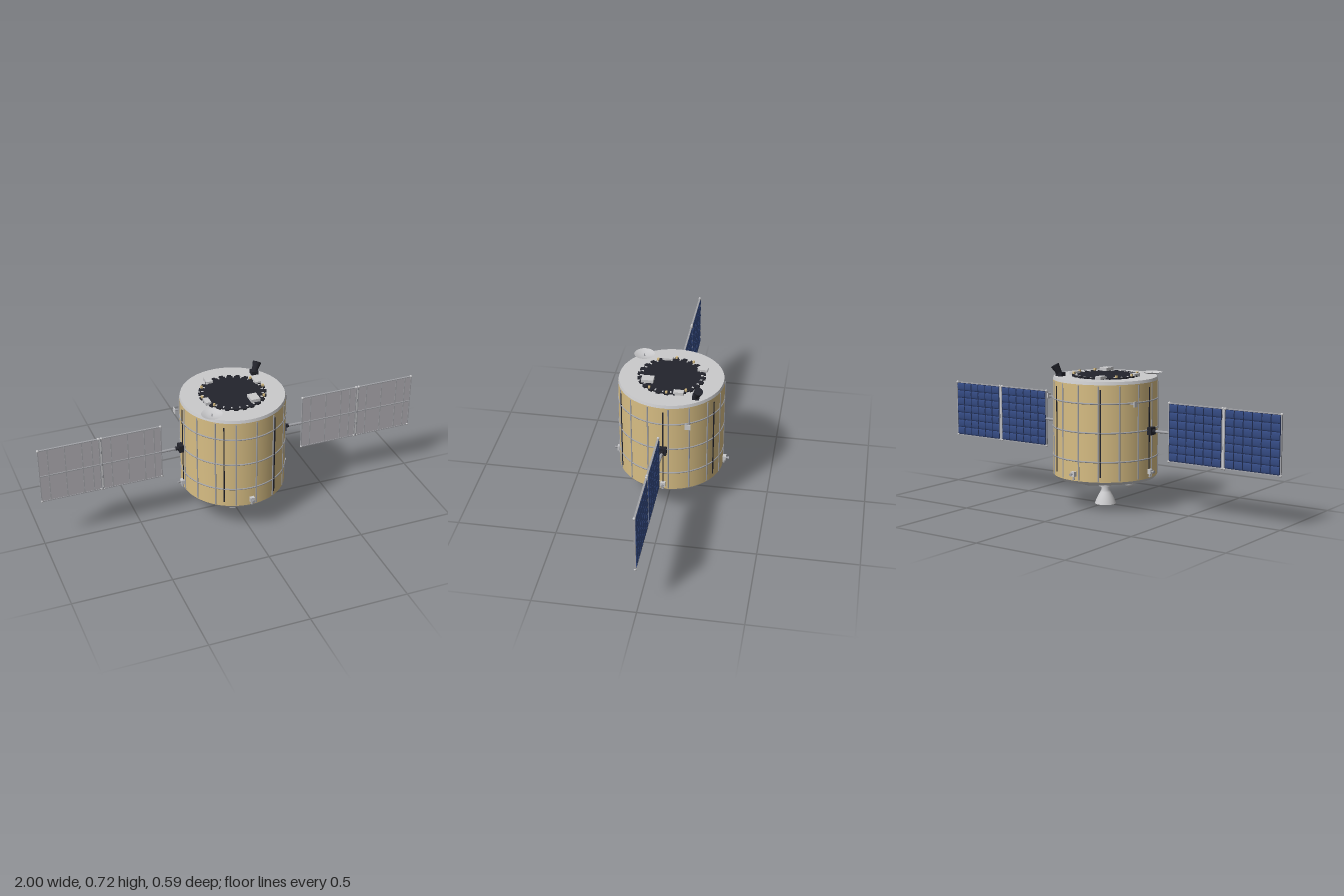
import * as THREE from 'three';

const paint = (name, color, side = THREE.FrontSide) => {
  const m = new THREE.MeshStandardMaterial({ color, side });
  m.name = name;
  return m;
};

export function createModel() {
  const gold = paint('goldFoil', 0xd8be84);
  const silver = paint('silver', 0xcacacc, THREE.DoubleSide);
  const steel = paint('steel', 0xa2a3a8);
  const panelGrey = paint('panelGrey', 0xb2b0b5);
  const black = paint('black', 0x23242c);
  const blue = paint('cellBlue', 0x344a82);
  const navy = paint('cellNavy', 0x1d2747);

  const model = new THREE.Group();
  model.name = 'satellite';

  const add = (parent, name, geo, mat, x = 0, y = 0, z = 0) => {
    const m = new THREE.Mesh(geo, mat);
    m.name = name;
    m.position.set(x, y, z);
    parent.add(m);
    return m;
  };
  const group = (name, parent = model) => {
    const g = new THREE.Group();
    g.name = name;
    parent.add(g);
    return g;
  };
  const box = (w, h, d) => new THREE.BoxGeometry(w, h, d);
  const cyl = (rt, rb, h, n = 16) => new THREE.CylinderGeometry(rt, rb, h, n);
  const lathe = (pts, n = 48) => new THREE.LatheGeometry(pts.map(p => new THREE.Vector2(...p)), n);
  const rod = (parent, name, a, b, r, mat) => {
    const va = new THREE.Vector3(...a), vb = new THREE.Vector3(...b);
    const m = add(parent, name, cyl(r, r, va.distanceTo(vb), 8), mat);
    m.position.copy(va).add(vb).multiplyScalar(0.5);
    m.quaternion.setFromUnitVectors(new THREE.Vector3(0, 1, 0), vb.sub(va).normalize());
    return m;
  };

  // Body drum with bevelled end caps
  const R = 0.264;
  add(model, 'drum', new THREE.CylinderGeometry(R, R, 0.48, 64, 1, true), gold, 0, 0.4, 0);
  add(model, 'topDeck', cyl(0.26, R, 0.015, 64), silver, 0, 0.6475, 0);
  add(model, 'bottomDeck', cyl(R, 0.252, 0.015, 64), silver, 0, 0.1525, 0);

  // Hoops, stringers and dark slots round the drum
  const cage = group('cage');
  for (const y of [0.26, 0.404, 0.548]) {
    const hoop = add(cage, 'hoop', new THREE.TorusGeometry(R, 0.004, 8, 64), steel, 0, y, 0);
    hoop.rotation.x = Math.PI / 2;
  }
  for (let i = 0; i < 16; i++) {
    const a = THREE.MathUtils.degToRad(17 + 22.5 * i);
    add(cage, 'stringer', cyl(0.004, 0.004, 0.47, 8), steel, R * Math.cos(a), 0.4, R * Math.sin(a));
  }
  for (let i = 0; i < 6; i++) {
    const a = i * Math.PI / 3;
    const slot = add(cage, 'darkSlot', box(0.006, 0.432, 0.006), black, R * Math.cos(a), 0.401, R * Math.sin(a));
    slot.rotation.y = -a;
  }

  // Thruster clusters at the four quarters
  for (let i = 0; i < 4; i++) {
    const t = group('thrusterCluster');
    t.rotation.y = i * Math.PI / 2;
    add(t, 'thrusterBlock', box(0.018, 0.024, 0.024), silver, 0.272, 0.195, 0);
    add(t, 'downNozzle', cyl(0.003, 0.007, 0.016, 12), steel, 0.27, 0.175, 0);
    const out = add(t, 'outNozzle', cyl(0.008, 0.003, 0.016, 12), steel, 0.288, 0.195, 0);
    out.rotation.z = -Math.PI / 2;
  }

  // Side sensor plates on stubs
  for (const s of [-1, 1]) {
    add(model, 'sensorPlate', box(0.004, 0.028, 0.028), silver, s * 0.265, 0.545, -0.12);
    add(model, 'sensorStub', box(0.03, 0.006, 0.006), steel, s * 0.249, 0.545, -0.12);
  }

  // Solar wings: plain face to the front, cells to the back
  for (const s of [-1, 1]) {
    const wing = group(s > 0 ? 'leftWing' : 'rightWing');
    add(wing, 'wingDrive', box(0.024, 0.038, 0.038), black, s * 0.277, 0.4, 0);
    rod(wing, 'wingArm', [s * 0.28, 0.4, 0], [s * 0.38, 0.4, 0.002], 0.007, steel);
    add(wing, 'wingCollar', cyl(0.01, 0.01, 0.016), black, s * 0.297, 0.4, 0).rotation.z = Math.PI / 2;
    for (const x0 of [0.377, 0.692]) {
      const p = group('panel', wing);
      p.position.set(s * (x0 + 0.153), 0.402, 0.003);
      add(p, 'panelBoard', box(0.302, 0.29, 0.004), panelGrey);
      for (const e of [-1, 1]) {
        add(p, 'panelRail', box(0.306, 0.005, 0.009), steel, 0, e * 0.145, 0);
        add(p, 'panelEnd', box(0.005, 0.294, 0.009), steel, e * 0.151, 0, 0);
        for (const f of [-1, 1]) add(p, 'cornerKnob', new THREE.SphereGeometry(0.007, 10, 8), silver, e * 0.15, f * 0.145, 0);
      }
      add(p, 'midRail', box(0.302, 0.006, 0.005), steel, 0, 0, 0.004);
      for (const x of [-0.105, -0.02, 0.065, 0.115]) add(p, 'rib', box(0.004, 0.288, 0.004), steel, x, 0, 0.003);
      // Cell backing and slightly bulged cells
      add(p, 'cellBacking', box(0.296, 0.284, 0.001), navy, 0, 0, -0.0028);
      const cell = new THREE.CylinderGeometry(0.0195, 0.0195, 0.044, 10, 1, false, Math.PI / 2, Math.PI);
      cell.scale(1, 1, 0.2).rotateZ(Math.PI / 2);
      for (let r = 0; r < 7; r++) {
        for (let c = 0; c < 6; c++) {
          add(p, 'solarCell', cell, blue, -0.1225 + c * 0.049, -0.1212 + r * 0.0404, -0.0032);
        }
      }
    }
    // Hinge between the two panels
    add(wing, 'hingeBar', box(0.012, 0.294, 0.008), silver, s * 0.687, 0.402, 0.003);
    for (const y of [0.262, 0.332, 0.402, 0.472, 0.542]) add(wing, 'hingeKnuckle', cyl(0.006, 0.006, 0.016, 10), steel, s * 0.687, y, 0.005);
  }

  // Top instruments
  const top = group('topInstruments');
  add(top, 'darkHatch', cyl(0.16, 0.16, 0.006, 48), black, 0, 0.658, 0);
  for (let i = 0; i < 24; i++) {
    const a = i * Math.PI / 12;
    const tab = add(top, 'hatchTab', box(0.016, 0.008, 0.02), black, 0.161 * Math.cos(a), 0.659, 0.161 * Math.sin(a));
    tab.rotation.y = -a;
    const clip = add(top, 'hatchClip', box(0.012, 0.004, 0.006), silver, 0.15 * Math.cos(a + 0.13), 0.662, 0.15 * Math.sin(a + 0.13));
    clip.rotation.y = -a - 0.13;
  }
  for (const [x, z, w, d, y] of [[-0.075, -0.145, 0.034, 0.05, 0.664], [0.07, 0.107, 0.046, 0.06, 0.674],
    [0.15, -0.058, 0.028, 0.05, 0.664], [-0.15, 0.043, 0.028, 0.05, 0.664]]) {
    add(top, 'equipmentBox', box(w, 0.016, d), silver, x, y, z);
  }
  add(top, 'boxStand', cyl(0.012, 0.016, 0.012), black, 0.07, 0.664, 0.107);
  for (const [x, z] of [[0.13, 0.09], [-0.13, 0.09], [0.13, -0.09], [-0.13, -0.09], [0.16, 0], [-0.16, 0]]) {
    add(top, 'goldBlock', box(0.01, 0.012, 0.01), gold, x, 0.668, z);
  }

  // Dish antenna
  const dish = group('dish');
  dish.position.set(-0.17, 0.657, 0.167);
  add(dish, 'dishBowl', lathe([[0, 0], [0.02, 0.002], [0.036, 0.006], [0.052, 0.012]], 32), silver);
  add(dish, 'dishFeed', cyl(0.002, 0.004, 0.012, 8), steel, 0, 0.006, 0);

  // Star tracker with a flared hood
  const tracker = group('starTracker');
  add(tracker, 'trackerBase', box(0.036, 0.02, 0.034), black, 0.172, 0.664, -0.146);
  const hood = add(tracker, 'trackerHood', cyl(0.022, 0.014, 0.048, 20), black, 0.186, 0.689, -0.155);
  hood.rotation.set(-0.32, 0, -0.4);

  // Underside: dark bay, flat tanks and pressure spheres
  const under = group('underside');
  add(under, 'darkBay', box(0.27, 0.012, 0.21), black, 0, 0.141, 0);
  for (const s of [-1, 1]) {
    const tank = add(under, 'flatTank', new THREE.SphereGeometry(0.086, 32, 16), silver, 0, 0.142, s * 0.106);
    tank.scale.y = 0.33;
    add(under, 'pressureSphere', new THREE.SphereGeometry(0.03, 24, 16), silver, s * 0.15, 0.129, 0);
    for (const e of [-1, 1]) rod(under, 'engineStrut', [s * 0.015, 0.1, e * 0.015], [s * 0.06, 0.12, e * 0.07], 0.003, steel);
  }

  // Main engine
  const engine = group('mainEngine');
  add(engine, 'engineBell', lathe([[0.054, 0], [0.047, 0.02], [0.036, 0.043], [0.026, 0.06], [0.021, 0.07], [0.021, 0.09]], 32), silver);
  add(engine, 'engineFlange', cyl(0.031, 0.031, 0.007, 32), silver, 0, 0.092, 0);
  add(engine, 'engineNeck', cyl(0.02, 0.02, 0.05, 20), steel, 0, 0.118, 0);
  return model;
}
